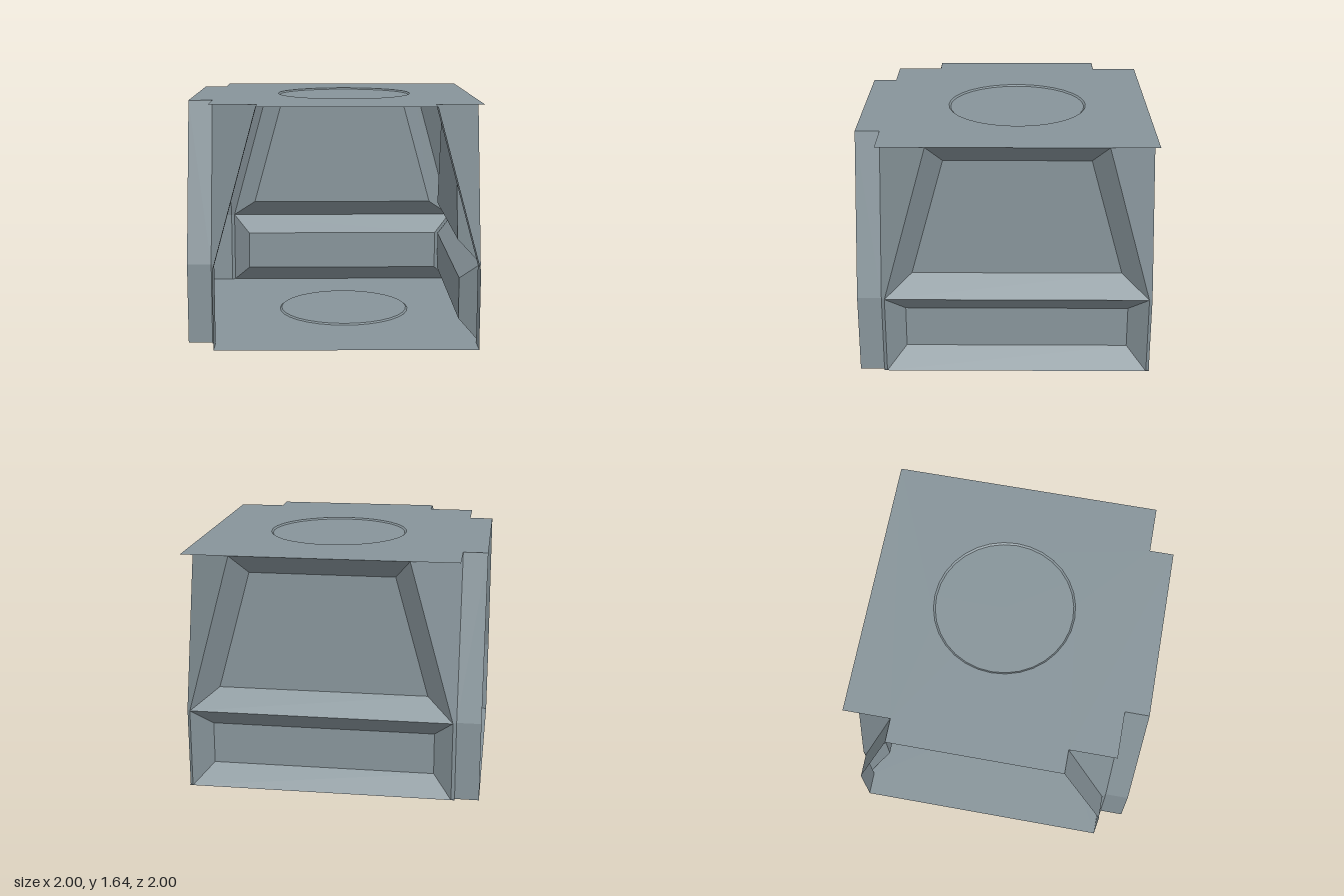
import * as THREE from 'three';

const HALF = 0.918;   // half width of the room
const REACH = 0.164;  // how far the doorways stick out
const LOW = 0.895;    // half width of a side up to the waist
const HIGH = 0.595;   // half width of a side at the ceiling
const WAIST = 0.55;
const TOP = 1.64;
const DISC = 0.485;

export function createModel() {
  const metal = new THREE.MeshStandardMaterial({ color: 0x87949a, side: THREE.DoubleSide, flatShading: true });
  const room = new THREE.Group();
  room.name = 'roomModule';

  const addMesh = (parent, name, geometry) => {
    const mesh = new THREE.Mesh(geometry, metal);
    mesh.name = name;
    parent.add(mesh);
    return mesh;
  };

  // Flat quads, corners counter-clockwise seen from outside
  const quads = (list) => {
    const points = list.flatMap(([a, b, c, d]) => [a, b, c, a, c, d]);
    const geometry = new THREE.BufferGeometry();
    geometry.setAttribute('position', new THREE.Float32BufferAttribute(points.flat(), 3));
    geometry.computeVertexNormals();
    return geometry;
  };

  // Tray pressed inwards: bevelled rim around a flat panel
  const tray = (outer, inner, depth) => {
    const corners = ([bottom, y0, top, y1], z) =>
      [[-bottom, y0, z], [bottom, y0, z], [top, y1, z], [-top, y1, z]];
    const o = corners(outer, HALF);
    const i = corners(inner, HALF - depth);
    return quads([i, ...o.map((p, k) => [p, o[(k + 1) % 4], i[(k + 1) % 4], i[k]])]);
  };

  // Two closed walls: back and left
  [['backWall', Math.PI], ['leftWall', Math.PI / 2]].forEach(([name, turn]) => {
    const wall = new THREE.Group();
    wall.name = name;
    wall.rotation.y = turn;
    addMesh(wall, 'lowerPanel', tray([LOW, 0, LOW, WAIST], [0.766, 0.13, 0.766, 0.42], 0.13));
    addMesh(wall, 'upperPanel', tray([LOW, WAIST, HIGH, TOP], [0.715, 0.685, 0.49, 1.5], 0.14));
    room.add(wall);
  });

  // Two open doorways: front and right, each with a pair of bent jambs
  [['frontDoorway', 0], ['rightDoorway', -Math.PI / 2]].forEach(([name, turn]) => {
    const doorway = new THREE.Group();
    doorway.name = name;
    doorway.rotation.y = turn;
    const a = HALF, b = HALF + REACH;
    for (const s of [-1, 1]) {
      addMesh(doorway, 'jamb', quads([
        [[s * LOW, 0, a], [s * LOW, 0, b], [s * LOW, WAIST, b], [s * LOW, WAIST, a]],
        [[s * LOW, WAIST, a], [s * LOW, WAIST, b], [s * HIGH, TOP, b], [s * HIGH, TOP, a]],
      ]));
    }
    room.add(doorway);
  });

  // Corner posts: narrow strip below, widening to the ceiling
  for (let k = 0; k < 4; k++) {
    const post = addMesh(room, 'cornerPost', quads([
      [[LOW, 0, HALF], [HALF, 0, LOW], [HALF, WAIST, LOW], [LOW, WAIST, HALF]],
      [[LOW, WAIST, HALF], [HALF, WAIST, LOW], [HALF, TOP, HIGH], [HIGH, TOP, HALF]],
    ]));
    post.rotation.y = k * Math.PI / 2;
  }

  // Floor and ceiling: square plate with doorway sills and a shallow round disc
  const plate = (name, y, sill, step) => {
    const group = new THREE.Group();
    group.name = name;
    group.position.y = y;
    const e = HALF + REACH;
    // Shape y maps to -z
    const shape = new THREE.Shape([
      [-HALF, -HALF], [-sill, -HALF], [-sill, -e], [sill, -e], [sill, -HALF], [HALF, -HALF],
      [HALF, HALF], [-HALF, HALF], [-HALF, sill], [-e, sill], [-e, -sill], [-HALF, -sill],
    ].map(([x, v]) => new THREE.Vector2(x, v)));
    shape.holes.push(new THREE.Path().absarc(0, 0, DISC, 0, Math.PI * 2, true));
    addMesh(group, 'plate', new THREE.ShapeGeometry(shape, 16).rotateX(-Math.PI / 2));
    addMesh(group, 'disc', new THREE.LatheGeometry([
      new THREE.Vector2(DISC, 0), new THREE.Vector2(DISC - 0.012, step), new THREE.Vector2(0, step),
    ], 32));
    room.add(group);
  };
  plate('floor', 0, LOW, 0.01);
  plate('ceiling', TOP, HIGH, -0.01);

  room.position.set(REACH / 2, 0, -REACH / 2);
  const model = new THREE.Group();
  model.name = 'model';
  model.add(room);
  return model;
}
